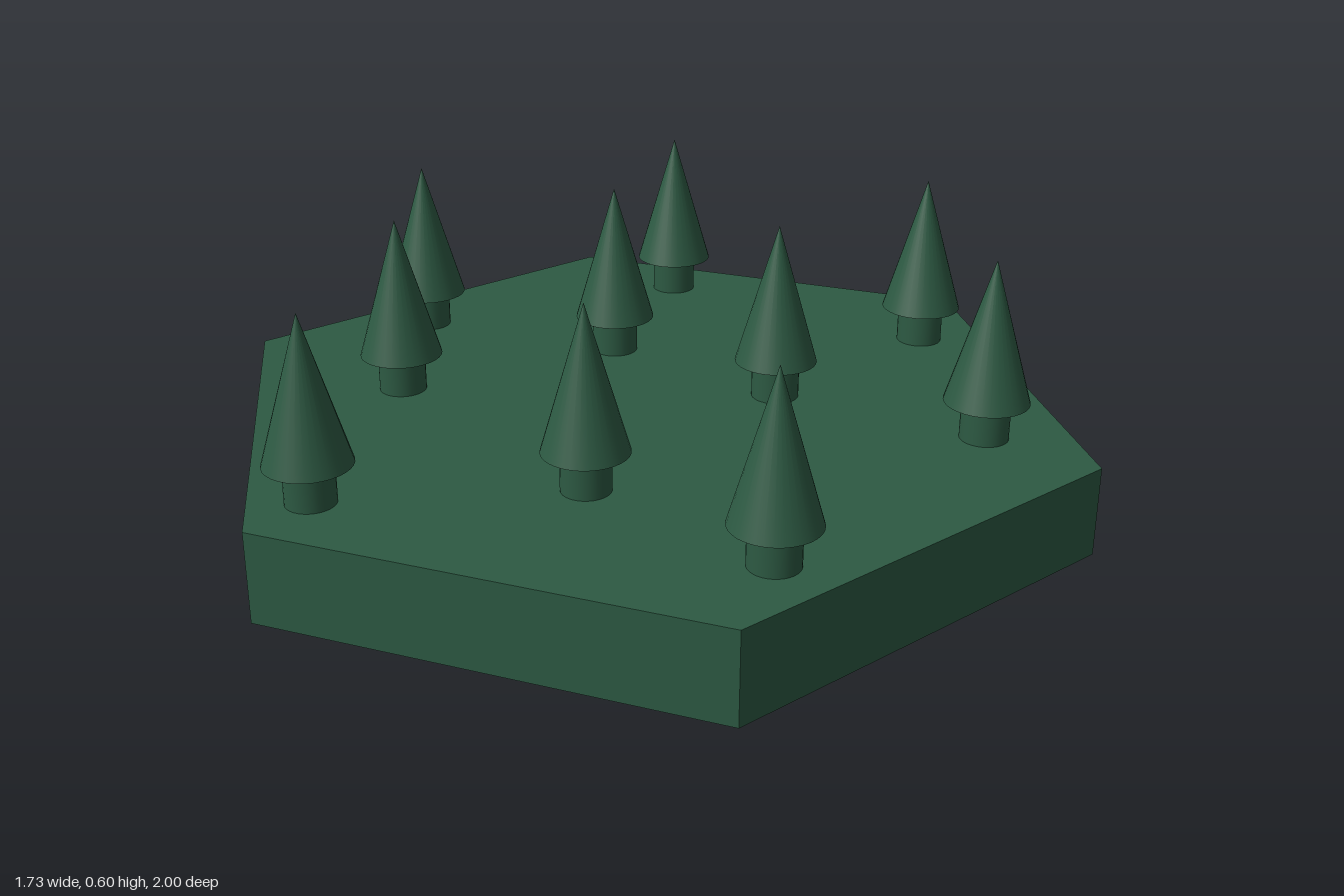
import * as THREE from 'three';

// Tree positions on the tile: [x, z]
const TREES = [
  [0.13, -0.75], [-0.535, -0.525], [0.61, -0.43], [0.16, -0.24], [-0.29, -0.135],
  [-0.72, 0.12], [-0.405, 0.39], [0.27, 0.38], [0.735, 0.3], [-0.03, 0.835],
];
const BASE_H = 0.2, TRUNK_H = 0.085, CROWN_H = 0.315;

export function createModel() {
  const model = new THREE.Group();
  model.name = 'forestTile';
  const green = new THREE.MeshStandardMaterial({ color: 0x2d5a43 });
  const flatGreen = new THREE.MeshStandardMaterial({ color: 0x2d5a43, flatShading: true });

  const add = (parent, name, geometry, material, y) => {
    const mesh = new THREE.Mesh(geometry, material);
    mesh.name = name;
    mesh.position.y = y;
    parent.add(mesh);
  };

  // Hexagonal base, corners pointing to front and back
  add(model, 'hexBase', new THREE.CylinderGeometry(1, 1, BASE_H, 6), flatGreen, BASE_H / 2);

  // Trees: short trunk under a smooth cone
  const trunk = new THREE.CylinderGeometry(0.053, 0.053, TRUNK_H, 32);
  const crown = new THREE.ConeGeometry(0.092, CROWN_H, 32);
  TREES.forEach(([x, z], i) => {
    const tree = new THREE.Group();
    tree.name = `tree${i + 1}`;
    tree.position.set(x, BASE_H, z);
    add(tree, 'trunk', trunk, green, TRUNK_H / 2);
    add(tree, 'crown', crown, green, TRUNK_H + CROWN_H / 2);
    model.add(tree);
  });
  return model;
}
